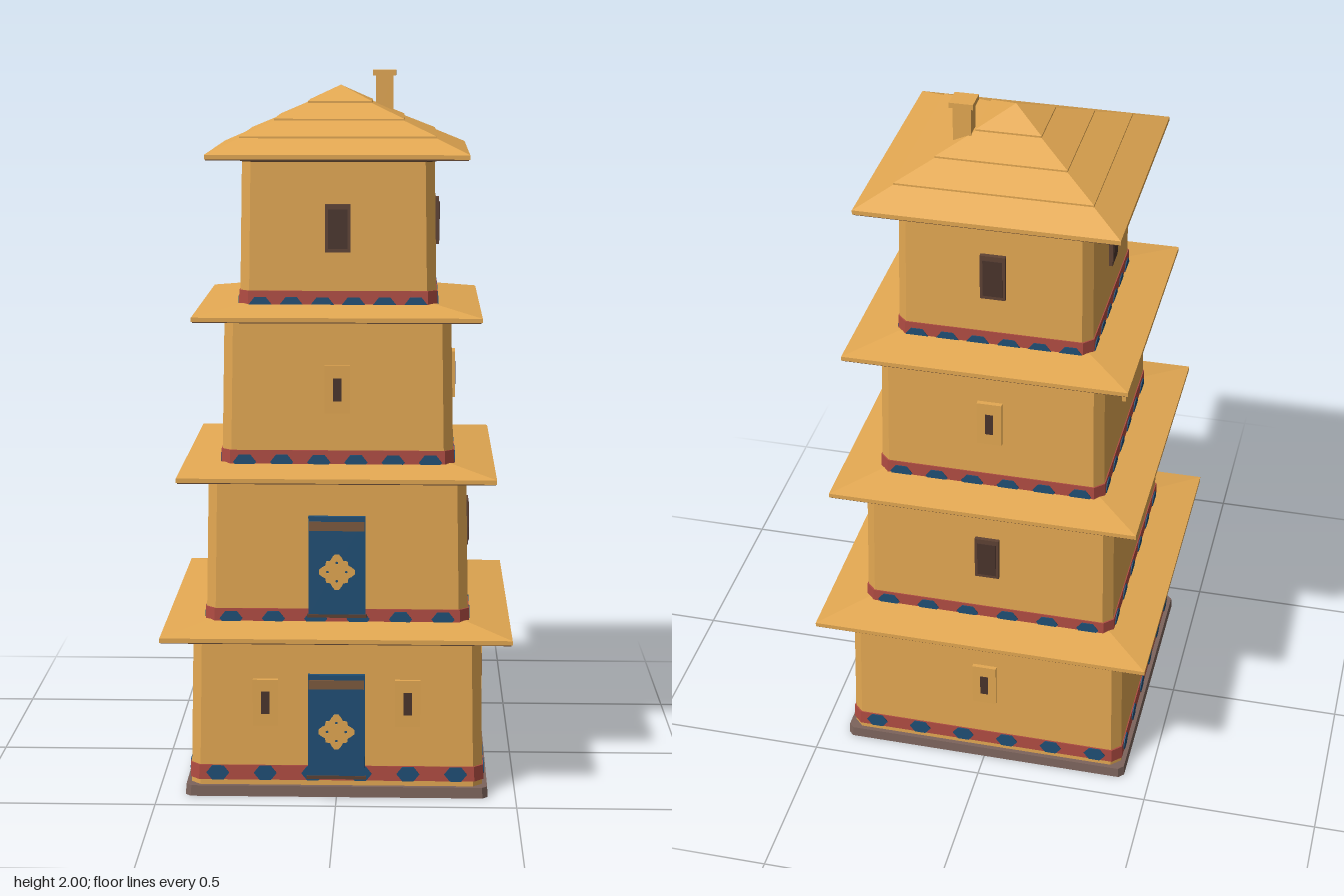
import * as THREE from 'three';

const mat = (name, color) => Object.assign(new THREE.MeshStandardMaterial({ color }), { name });

export function createModel() {
  const ochre = mat('ochre plaster', 0xe3a852);
  const red = mat('red band', 0xb04c42);
  const blue = mat('blue paint', 0x1f4f76);
  const brown = mat('brown trim', 0x7d5a3e);
  const frameBrown = mat('window frame brown', 0x5e4234);
  const dark = mat('dark opening', 0x4a342c);
  const soffitBrown = mat('soffit brown', 0x624630);
  const stone = mat('foundation stone', 0x7c645c);

  const model = new THREE.Group();
  model.name = 'tower';

  const add = (parent, name, geometry, material, x = 0, y = 0, z = 0) => {
    const mesh = new THREE.Mesh(geometry, material);
    mesh.name = name;
    mesh.position.set(x, y, z);
    parent.add(mesh);
    return mesh;
  };

  // Box given by its centre x, width, y range and z range
  const slab = (parent, name, material, x, width, y0, y1, z0, z1) =>
    add(parent, name, new THREE.BoxGeometry(width, y1 - y0, z1 - z0), material, x, (y0 + y1) / 2, (z0 + z1) / 2);

  // Square block centred on the axis
  const block = (parent, name, material, half, y0, y1) =>
    slab(parent, name, material, 0, half * 2, y0, y1, -half, half);

  // Square frustum with flat sides
  const frustum = (parent, name, material, bottom, top, y0, y1) => {
    const g = new THREE.CylinderGeometry(top * Math.SQRT2, bottom * Math.SQRT2, y1 - y0, 4, 1)
      .rotateY(Math.PI / 4).toNonIndexed();
    g.computeVertexNormals();
    return add(parent, name, g, material, 0, (y0 + y1) / 2);
  };

  // Square prism with cut corners, tapering from half-width a to b
  const cutPrism = (parent, name, material, a, b, y0, y1, cut = 0.026) => {
    const c = a - cut;
    const shape = new THREE.Shape([[a, -c], [a, c], [c, a], [-c, a], [-a, c], [-a, -c], [-c, -a], [c, -a]]
      .map(([x, y]) => new THREE.Vector2(x, y)));
    const g = new THREE.ExtrudeGeometry(shape, { depth: y1 - y0, bevelEnabled: false }).rotateX(-Math.PI / 2);
    const p = g.attributes.position;
    for (let i = 0; i < p.count; i++) {
      const s = p.getY(i) > (y1 - y0) / 2 ? b / a : 1;
      p.setXYZ(i, p.getX(i) * s, p.getY(i), p.getZ(i) * s);
    }
    g.computeVertexNormals();
    return add(parent, name, g, material, 0, y0);
  };

  // Stepped diamond with four small round openings
  const diamond = new THREE.Shape();
  for (let q = 0; q < 4; q++) {
    [[0.05, -0.006], [0.05, 0.006], [0.04, 0.014], [0.032, 0.018], [0.03, 0.03], [0.018, 0.032], [0.014, 0.04]]
      .forEach(([x, y], i) => {
        const a = q * Math.PI / 2, c = Math.cos(a), s = Math.sin(a);
        const px = x * c - y * s, py = x * s + y * c;
        if (q === 0 && i === 0) diamond.moveTo(px, py); else diamond.lineTo(px, py);
      });
  }
  for (const [x, y] of [[0.026, 0], [-0.026, 0], [0, 0.026], [0, -0.026]]) {
    diamond.holes.push(new THREE.Path().absarc(x, y, 0.004, 0, Math.PI * 2, true));
  }
  const diamondGeometry = new THREE.ExtrudeGeometry(diamond, { depth: 0.003, bevelEnabled: false, curveSegments: 4 });

  // Six-sided painted medallion with a flat top
  const medallionGeometry = new THREE.CylinderGeometry(1, 1, 0.004, 6)
    .rotateX(Math.PI / 2).rotateZ(Math.PI / 6).scale(0.032, 0.0235, 1);

  const addWindow = (side, x, y, z, wall, plain) => {
    const g = new THREE.Group();
    g.name = 'window';
    side.add(g);
    slab(g, 'windowFrame', plain ? ochre : frameBrown, x, 0.07, y - 0.066, y + 0.066, wall, z);
    if (plain) {
      slab(g, 'windowSlit', dark, x, 0.023, y - 0.032, y + 0.032, z - 0.002, z + 0.002);
    } else {
      slab(g, 'windowPane', dark, x, 0.054, y - 0.056, y + 0.052, z - 0.002, z + 0.002);
    }
  };

  const addDoor = (side, y0, y1, z, wall) => {
    const g = new THREE.Group();
    g.name = 'door';
    side.add(g);
    slab(g, 'doorPanel', blue, 0, 0.158, y0, y1, wall, z);
    slab(g, 'doorLintelStripe', brown, 0, 0.154, y1 - 0.04, y1 - 0.014, z - 0.002, z + 0.002);
    slab(g, 'doorSill', frameBrown, 0, 0.166, y0 - 0.004, y0 + 0.005, wall, z + 0.003);
    add(g, 'doorOrnament', diamondGeometry, ochre, 0, (y0 + y1) / 2 - 0.015, z);
  };

  // One entry per storey, from the ground up
  const storeys = [
    { y0: 0.03, y1: 0.445, bottom: 0.408, top: 0.4, band: [0.045, 0.087], motif: 0.065, step: 0.133,
      windowY: 0.269, plain: true, panel: 0.414, door: [0.055, 0.35], frontWindows: [-0.198, 0.198],
      eaveY: 0.455, eave: 0.484, roofTop: [0.355, 0.494] },
    { y0: 0.48, y1: 0.884, bottom: 0.365, top: 0.357, band: [0.487, 0.527], motif: 0.499, step: 0.118,
      windowY: 0.703, plain: false, panel: 0.371, door: [0.508, 0.79], frontWindows: [],
      eaveY: 0.893, eave: 0.438, roofTop: [0.312, 0.931] },
    { y0: 0.92, y1: 1.321, bottom: 0.321, top: 0.313, band: [0.927, 0.967], motif: 0.934, step: 0.103,
      windowY: 1.138, plain: true, panel: 0.329, frontWindows: [0],
      eaveY: 1.33, eave: 0.396, roofTop: [0.267, 1.369] },
    { y0: 1.36, y1: 1.759, bottom: 0.272, top: 0.265, band: [1.365, 1.405], motif: 1.367, step: 0.086,
      windowY: 1.578, plain: false, panel: 0.28, frontWindows: [0],
      eaveY: 1.768, eave: 0.359 },
  ];

  // Foundation
  cutPrism(model, 'foundation', stone, 0.423, 0.421, 0, 0.03, 0.015);

  storeys.forEach((s, n) => {
    const storey = new THREE.Group();
    storey.name = `storey${n + 1}`;
    model.add(storey);
    cutPrism(storey, 'walls', ochre, s.bottom, s.top, s.y0, s.y1);
    cutPrism(storey, 'paintedBand', red, s.bottom + 0.003, s.bottom + 0.002, s.band[0], s.band[1]);
    cutPrism(storey, 'cornice', soffitBrown, s.top + 0.004, s.top + 0.007, s.y1, s.eaveY);

    // Eaves and sloping skirt roof
    block(storey, 'soffit', soffitBrown, s.eave - 0.003, s.eaveY, s.eaveY + 0.004);
    block(storey, 'eave', ochre, s.eave, s.eaveY + 0.003, s.eaveY + 0.015);
    if (s.roofTop) frustum(storey, 'skirtRoof', ochre, s.eave, s.roofTop[0], s.eaveY + 0.015, s.roofTop[1]);

    // Details on the four sides
    for (let k = 0; k < 4; k++) {
      const side = new THREE.Group();
      side.name = ['frontSide', 'leftSide', 'backSide', 'rightSide'][k];
      side.rotation.y = k * Math.PI / 2;
      storey.add(side);
      for (let i = 0; i < 6; i++) {
        add(side, 'medallion', medallionGeometry, blue, (i - 2.5) * s.step, s.motif, s.bottom + 0.003);
      }
      const wall = s.top;
      for (const x of k === 0 ? s.frontWindows : [0]) addWindow(side, x, s.windowY, s.panel, wall, s.plain);
      if (k === 0 && s.door) addDoor(side, s.door[0], s.door[1], s.panel + 0.002, wall);
    }
  });

  // Top roof in four courses, each with a small lip
  const roof = new THREE.Group();
  roof.name = 'topRoof';
  model.add(roof);
  const courses = [[0.359, 1.783], [0.27, 1.828], [0.18, 1.872], [0.09, 1.917], [0, 1.96]];
  const lip = 0.005;
  for (let i = 0; i < 4; i++) {
    const [half, y] = courses[i], [nextHalf, nextY] = courses[i + 1];
    const last = i === 3;
    frustum(roof, 'roofCourse', ochre, half, last ? 0.0005 : nextHalf, y, last ? nextY : nextY - lip);
    if (i > 0) block(roof, 'courseLip', ochre, half, y - lip, y);
  }

  // Chimney with cap
  const chimney = new THREE.Group();
  chimney.name = 'chimney';
  chimney.position.set(0.123, 0, -0.082);
  model.add(chimney);
  block(chimney, 'chimneyStack', ochre, 0.025, 1.86, 1.985);
  block(chimney, 'chimneyCap', ochre, 0.033, 1.985, 2);

  return model;
}
